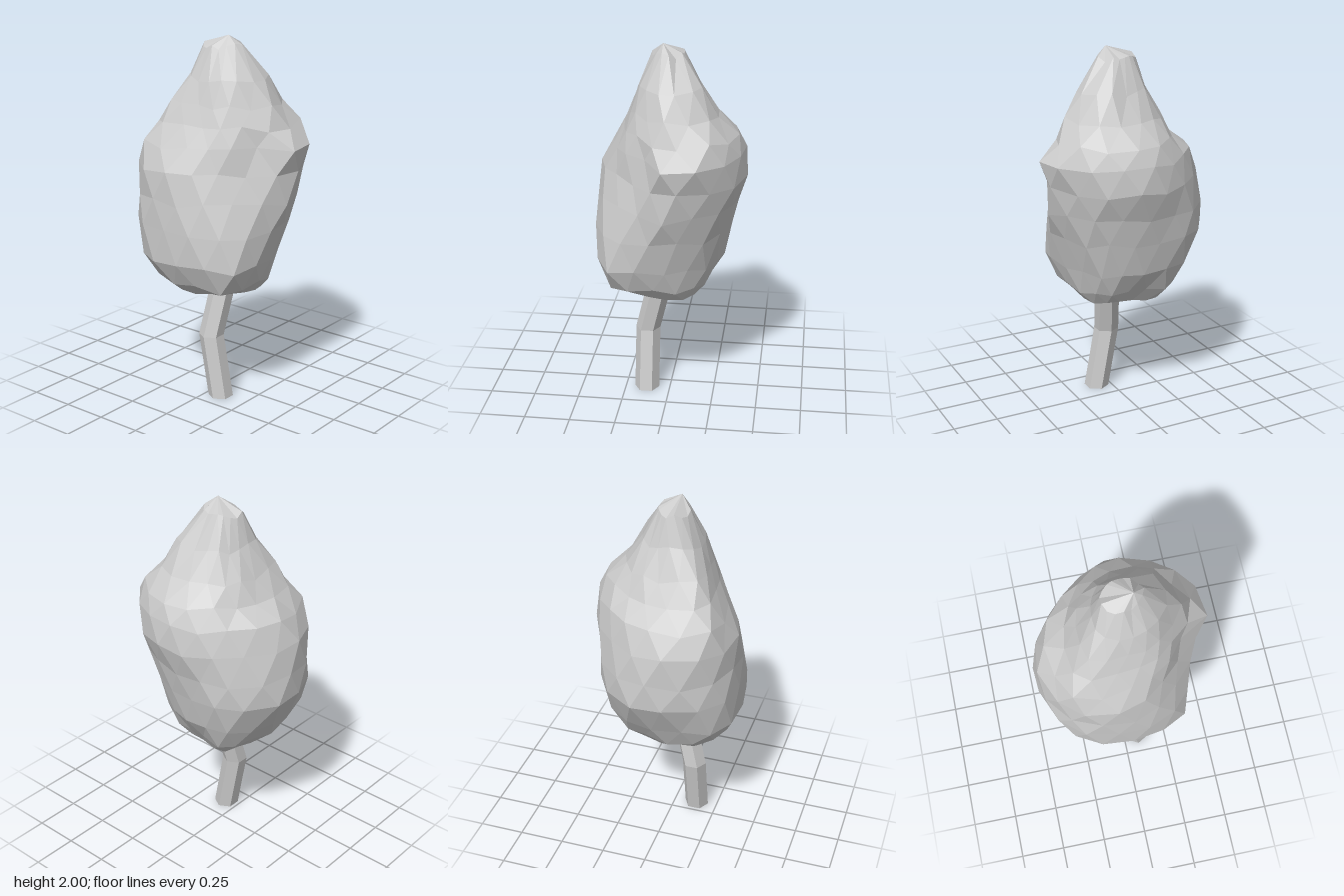
import * as THREE from 'three';

const material = new THREE.MeshStandardMaterial({ color: 0xcccccc, flatShading: true, side: THREE.DoubleSide });

// Skin a stack of closed rings (arrays of Vector3, bottom to top), closed by a fan at each end.
// With stagger, every second ring is turned by half a segment.
function loft(rings, bottom, top, stagger) {
  const out = [];
  const tri = (...points) => points.forEach((p) => out.push(p.x, p.y, p.z));
  const n = rings[0].length;
  const last = rings[rings.length - 1];
  for (let j = 0; j < n; j++) {
    const k = (j + 1) % n;
    tri(bottom, rings[0][j], rings[0][k]);
    tri(top, last[k], last[j]);
    for (let i = 0; i < rings.length - 1; i++) {
      const a = rings[i], c = rings[i + 1];
      if (stagger && i % 2) {
        tri(a[j], c[k], a[k]);
        tri(a[j], c[j], c[k]);
      } else {
        tri(a[j], c[j], a[k]);
        tri(a[k], c[j], c[k]);
      }
    }
  }
  const geometry = new THREE.BufferGeometry();
  geometry.setAttribute('position', new THREE.Float32BufferAttribute(out, 3));
  geometry.computeVertexNormals();
  return geometry;
}

function seeded(seed) {
  return () => {
    seed = (seed * 16807) % 2147483647;
    return seed / 2147483647;
  };
}

// Bent hexagonal trunk
function createTrunk() {
  const path = [[0.08, 0, 0.13], [0.015, 0.35, 0.13], [0.05, 0.7, 0.045]].map((p) => new THREE.Vector3(...p));
  const rings = path.map((p) => Array.from({ length: 6 }, (_, j) => {
    const a = Math.PI / 6 + (j * Math.PI) / 3;
    return new THREE.Vector3(p.x + 0.069 * Math.cos(a), p.y, p.z + 0.069 * Math.sin(a));
  }));
  const mesh = new THREE.Mesh(loft(rings, path[0], path[2], false), material);
  mesh.name = 'trunk';
  return mesh;
}

// Canopy cross-sections: height, then the radius in eight directions from +x through +z
const sections = [
  [0.62, 0.22, 0.25, 0.24, 0.27, 0.21, 0.22, 0.16, 0.21],
  [0.69, 0.28, 0.37, 0.35, 0.37, 0.29, 0.3, 0.21, 0.26],
  [0.82, 0.32, 0.43, 0.41, 0.44, 0.36, 0.37, 0.29, 0.3],
  [1.0, 0.37, 0.42, 0.41, 0.46, 0.48, 0.42, 0.33, 0.36],
  [1.15, 0.42, 0.36, 0.4, 0.46, 0.475, 0.42, 0.37, 0.4],
  [1.3, 0.44, 0.32, 0.37, 0.455, 0.455, 0.4, 0.42, 0.43],
  [1.43, 0.45, 0.31, 0.31, 0.42, 0.4, 0.365, 0.4, 0.44],
  [1.54, 0.38, 0.28, 0.25, 0.35, 0.29, 0.29, 0.36, 0.41],
  [1.64, 0.31, 0.24, 0.21, 0.28, 0.22, 0.23, 0.25, 0.32],
  [1.78, 0.24, 0.19, 0.17, 0.18, 0.145, 0.15, 0.16, 0.23],
  [1.94, 0.12, 0.1, 0.1, 0.11, 0.1, 0.075, 0.07, 0.09],
];

// Groove (positive) and lobes (negative): angle from +x towards +z, height, depth, angular width, vertical width
const dents = [
  [0.4, 1.42, 0.2, 0.22, 0.15],
  [-0.2, 1.43, -0.06, 0.25, 0.1],
  [1.95, 1.32, -0.04, 0.25, 0.15],
];

function dentScale(angle, y) {
  return dents.reduce((s, [a, h, depth, w, v]) => {
    const turn = Math.atan2(Math.sin(angle - a), Math.cos(angle - a));
    return s - depth * Math.exp(-((turn / w) ** 2) - ((y - h) / v) ** 2);
  }, 1);
}

function createCanopy() {
  const random = seeded(41);
  const n = 16;
  const rings = sections.map(([y, ...radii], i) => {
    const outline = new THREE.CatmullRomCurve3(radii.map((r, j) => {
      const a = (j * Math.PI) / 4;
      return new THREE.Vector3(r * Math.cos(a), y, r * Math.sin(a));
    }), true, 'catmullrom');
    return Array.from({ length: n }, (_, j) => {
      const p = outline.getPoint((j + (i % 2) / 2) / n);
      const scale = dentScale(Math.atan2(p.z, p.x), y) * (0.985 + 0.035 * random());
      return new THREE.Vector3(p.x * scale, y + (random() - 0.5) * 0.035, p.z * scale);
    });
  });
  const bottom = new THREE.Vector3(-0.08, 0.56, 0.05);
  const top = new THREE.Vector3(0.06, 2, 0.035);
  const mesh = new THREE.Mesh(loft(rings, bottom, top, true), material);
  mesh.name = 'canopy';
  return mesh;
}

export function createModel() {
  const tree = new THREE.Group();
  tree.name = 'tree';
  tree.add(createTrunk(), createCanopy());
  return tree;
}
